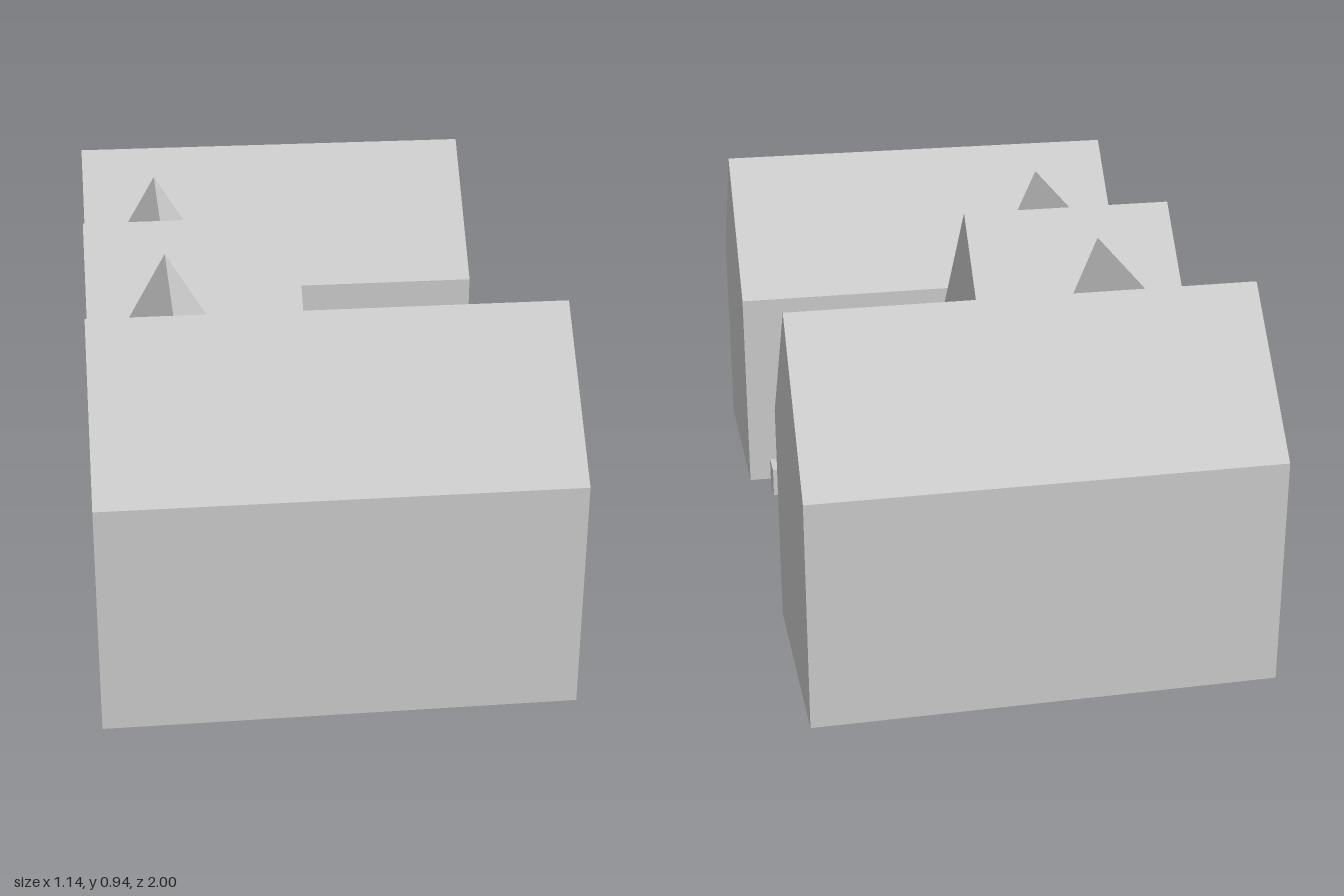
import * as THREE from 'three';
import { ConvexGeometry } from 'three/addons/geometries/ConvexGeometry.js';

const BASE = 0.009, EAVE = 0.58, RIDGE = 0.935;
const BACK = -0.571, INNER = -0.146; // back wall, courtyard wall of the connectors
const HALF = 0.2855, WING_Z = 0.7145; // half width and offset of the wings

export function createModel() {
  const group = new THREE.Group();
  const material = new THREE.MeshStandardMaterial({ color: 0xcccccc, flatShading: true });
  const shellMaterial = material.clone();
  shellMaterial.side = THREE.DoubleSide;

  const add = (name, geometry, x = 0, y = 0, z = 0, mat = material) => {
    const mesh = new THREE.Mesh(geometry, mat);
    mesh.name = name;
    mesh.position.set(x, y, z);
    group.add(mesh);
  };
  const extrude = (points, depth) => new THREE.ExtrudeGeometry(
    new THREE.Shape(points.map(([a, b]) => new THREE.Vector2(a, b))),
    { depth, bevelEnabled: false });

  // Thin open shell from flat convex panels
  const addShell = (name, panels) => {
    const positions = [];
    for (const p of panels) {
      for (let i = 1; i < p.length - 1; i++) positions.push(...p[0], ...p[i], ...p[i + 1]);
    }
    const geometry = new THREE.BufferGeometry();
    geometry.setAttribute('position', new THREE.Float32BufferAttribute(positions, 3));
    geometry.computeVertexNormals();
    add(name, geometry, 0, 0, 0, shellMaterial);
  };
  const facing = (panel, side) => (side > 0 ? panel : [...panel].reverse());

  // Gabled wing without a floor; each long wall starts at its own x
  const wing = (name, zc, front, wallStart) => {
    const gable = x => [
      [x, BASE, zc + HALF], [x, BASE, zc - HALF], [x, EAVE, zc - HALF],
      [x, RIDGE, zc], [x, EAVE, zc + HALF],
    ];
    const panels = [gable(front), gable(BACK).reverse()];
    for (const s of [-1, 1]) {
      const z = zc + s * HALF, x = wallStart(s);
      panels.push(
        facing([[x, BASE, z], [front, BASE, z], [front, EAVE, z], [x, EAVE, z]], s),
        facing([[BACK, EAVE, z], [front, EAVE, z], [front, RIDGE, zc], [BACK, RIDGE, zc]], s));
    }
    addShell(name, panels);
  };
  wing('leftWing', WING_Z, -BACK, s => (s > 0 ? BACK : INNER));
  wing('rightWing', -WING_Z, -BACK, s => (s < 0 ? BACK : INNER));
  wing('centreWing', 0, 0, () => INNER);

  // Cross roof running from wing to wing, its ridge ending on the wing roofs
  const near = WING_Z - HALF, ridgeEnd = 0.656, ridgeX = (BACK + INNER) / 2, crossRidge = 0.862;
  const slope = x => [
    [x, EAVE, near], [x, EAVE, -near], [ridgeX, crossRidge, -ridgeEnd], [ridgeX, crossRidge, ridgeEnd],
  ];
  addShell('crossRoof', [slope(INNER), slope(BACK).reverse()]);

  for (const side of [-1, 1]) {
    const label = side > 0 ? 'left' : 'right';
    // Connector walls between the centre and the outer wing
    const wall = x => [
      [x, BASE, side * near], [x, BASE, side * HALF], [x, EAVE, side * HALF], [x, EAVE, side * near],
    ];
    addShell(label + 'Connector', [facing(wall(INNER), side), facing(wall(BACK), -side)]);
    // Low courtyard wall
    add(label + 'CourtyardWall', new THREE.BoxGeometry(0.595, 0.082, 0.082), 0.214, 0.041, side * 0.367);
  }

  // Square porch surround, open in the middle
  add('porch', extrude([
    [-0.164, BASE], [-0.143, BASE], [-0.143, 0.219], [0.143, 0.219],
    [0.143, BASE], [0.164, BASE], [0.164, 0.264], [-0.164, 0.264],
  ], 0.072).rotateY(Math.PI / 2));

  // Three-sided bay window standing on the porch
  const bay = (halfBack, halfFront, depth, height) => extrude([
    [0, -halfBack], [depth, -halfFront], [depth, halfFront], [0, halfBack],
  ], height).rotateX(-Math.PI / 2);
  add('bayWindow', bay(0.143, 0.072, 0.05, EAVE - 0.264), 0, 0.264, 0);
  add('bayLedge', bay(0.157, 0.077, 0.06, 0.016), 0, 0.366, -0.002);

  // Hipped roof of the bay
  const corners = [];
  for (const s of [-1, 1]) {
    corners.push(
      new THREE.Vector3(0, EAVE, s * 0.143),
      new THREE.Vector3(0.05, EAVE, s * 0.072),
      new THREE.Vector3(0, 0.622, s * 0.072));
  }
  add('bayRoof', new ConvexGeometry(corners));

  return group;
}
